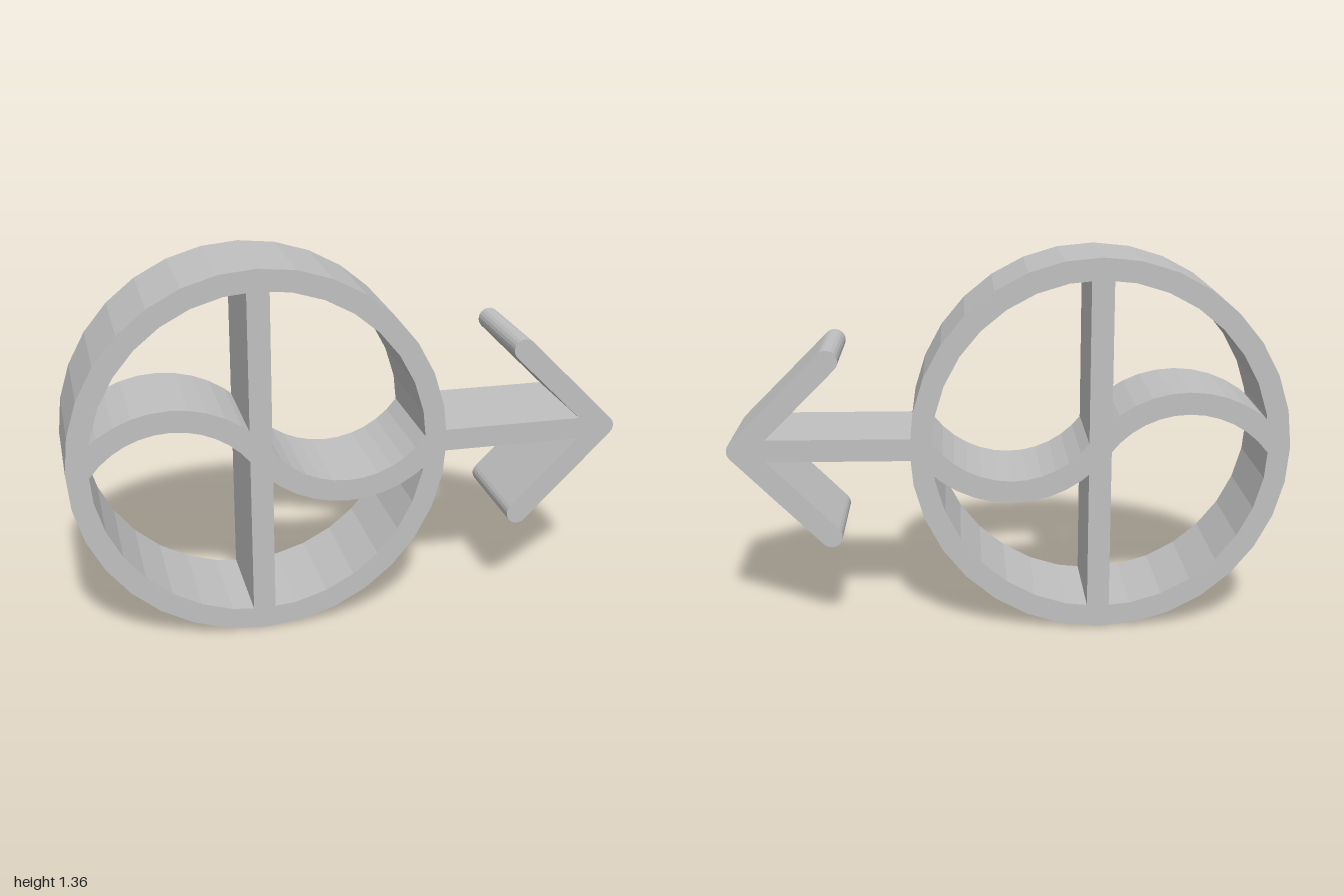
import * as THREE from 'three';

const DEPTH = 0.4;
const HALF = 0.04; // half the stroke width
const CX = -0.322, CY = 0.68; // ring centre

export function createModel() {
  const model = new THREE.Group();
  model.name = 'ringAndArrow';
  const grey = new THREE.MeshStandardMaterial({ color: 0xc0c0c0 });
  grey.name = 'plain grey';

  function addPart(name, shape, curveSegments) {
    const geometry = new THREE.ExtrudeGeometry(shape, { depth: DEPTH, bevelEnabled: false, curveSegments });
    geometry.translate(0, 0, -DEPTH / 2);
    const mesh = new THREE.Mesh(geometry, grey);
    mesh.name = name;
    model.add(mesh);
  }

  function rectangle(x0, y0, x1, y1) {
    return new THREE.Shape([[x0, y0], [x1, y0], [x1, y1], [x0, y1]].map(p => new THREE.Vector2(...p)));
  }

  // Straight stroke with rounded ends
  function capsule(x0, y0, x1, y1) {
    const a = Math.atan2(y1 - y0, x1 - x0);
    const shape = new THREE.Shape();
    shape.absarc(x1, y1, HALF, a - Math.PI / 2, a + Math.PI / 2, false);
    shape.absarc(x0, y0, HALF, a + Math.PI / 2, a + Math.PI * 1.5, false);
    return shape;
  }

  // Curved stroke: an arc band around (x, y)
  function arcBand(x, y, radius, middle, spread) {
    const shape = new THREE.Shape();
    shape.absarc(x, y, radius + HALF, middle - spread, middle + spread, false);
    shape.absarc(x, y, radius - HALF, middle + spread, middle - spread, true);
    return shape;
  }

  // Ring with 32 sides
  const ring = new THREE.Shape();
  ring.absarc(CX, CY, 0.678, 0, Math.PI * 2, false);
  const hole = new THREE.Path();
  hole.absarc(CX, CY, 0.6, 0, Math.PI * 2, true);
  ring.holes.push(hole);
  addPart('ring', ring, 16);

  // Upright bar across the ring
  addPart('uprightBar', rectangle(CX - HALF, CY - 0.63, CX + HALF, CY + 0.63), 1);

  // Wave: one arch up, one arch down
  const radius = 0.39, spread = Math.asin(0.314 / radius);
  for (const s of [1, -1]) {
    addPart(s > 0 ? 'waveCrest' : 'waveTrough',
      arcBand(CX - s * 0.316, CY - s * 0.23, radius, s * Math.PI / 2, spread), 6);
  }

  // Arrow: shaft and two rounded head strokes
  addPart('arrowShaft', rectangle(0.31, CY - HALF, 0.95, CY + HALF), 1);
  for (const s of [1, -1]) {
    addPart(s > 0 ? 'arrowHeadUpper' : 'arrowHeadLower', capsule(0.64, CY + s * 0.32, 0.96, CY), 5);
  }
  return model;
}
